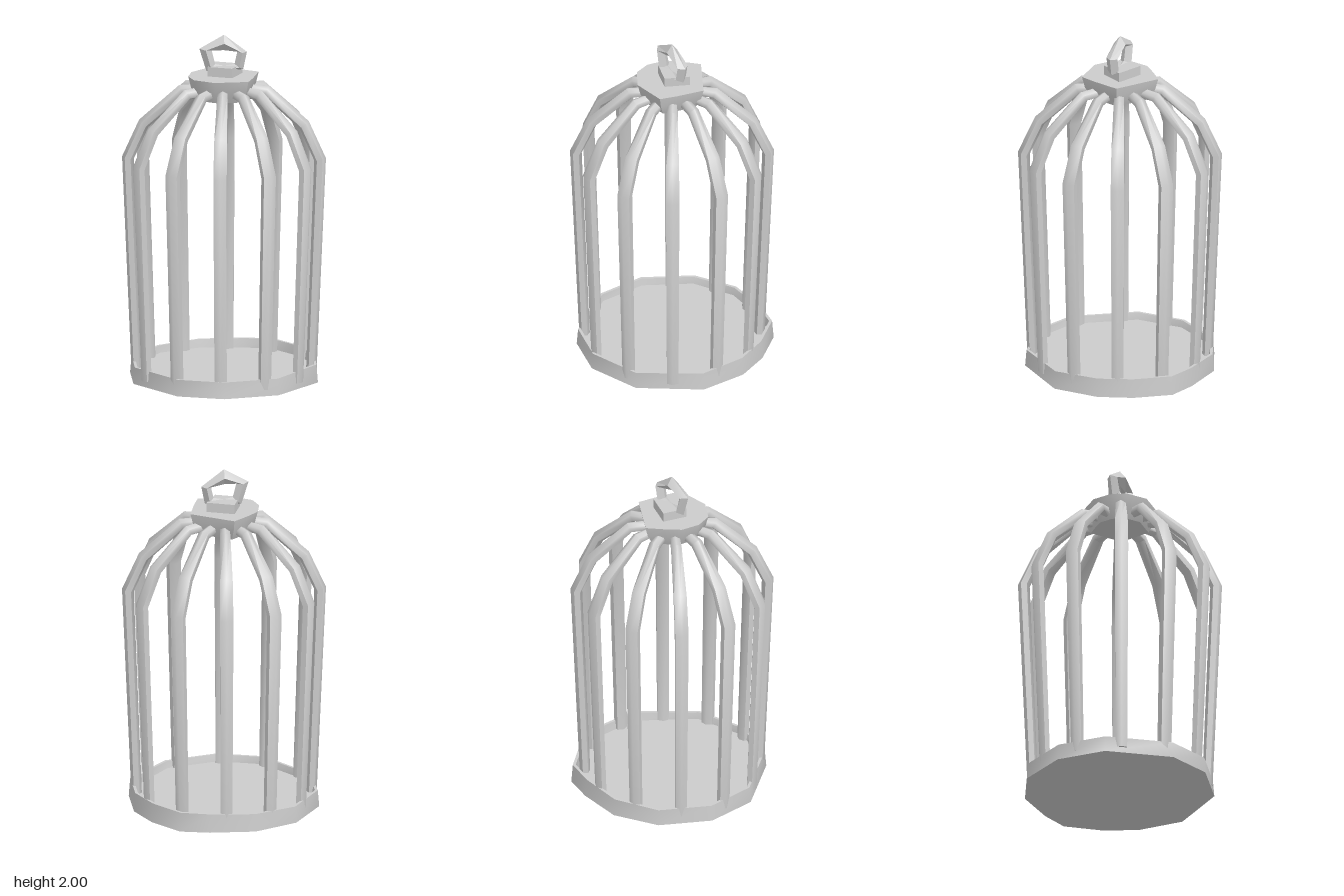
import * as THREE from 'three';
import { toCreasedNormals } from 'three/addons/utils/BufferGeometryUtils.js';

const material = new THREE.MeshStandardMaterial({ color: 0xcccccc });

// Skin a run of cross-section rings; the ends are capped unless the run closes on itself.
function loft(rings, closed = false, crease = 0.7) {
  const run = [...rings];
  if (closed) {
    run.push(rings[0]);
  } else {
    const collapse = ring => {
      const mid = new THREE.Vector3();
      ring.forEach(p => mid.add(p));
      mid.divideScalar(ring.length);
      return ring.map(() => mid);
    };
    run.unshift(collapse(rings[0]));
    run.push(collapse(rings[rings.length - 1]));
  }
  const pos = [];
  const tri = (a, b, c) => {
    if (a.equals(b) || b.equals(c) || a.equals(c)) return;
    [a, b, c].forEach(p => pos.push(p.x, p.y, p.z));
  };
  for (let j = 0; j < run.length - 1; j++) {
    const lo = run[j], hi = run[j + 1];
    for (let i = 0; i < lo.length; i++) {
      const k = (i + 1) % lo.length;
      tri(lo[k], lo[i], hi[i]);
      tri(lo[k], hi[i], hi[k]);
    }
  }
  const geo = new THREE.BufferGeometry();
  geo.setAttribute('position', new THREE.Float32BufferAttribute(pos, 3));
  return toCreasedNormals(geo, crease);
}

// Stack one outline at several [scale, y] levels; tilt(x, z) may vary the height.
function stack(outline, levels) {
  return loft(levels.map(([s, y, tilt]) =>
    outline.map(([x, z]) => new THREE.Vector3(x * s, y + (tilt ? tilt(x, z) : 0), z * s))));
}

function addMesh(parent, name, geometry) {
  const mesh = new THREE.Mesh(geometry, material);
  mesh.name = name;
  parent.add(mesh);
  return mesh;
}

// One bar in the x-y plane: [radius, y, outward normal angle, half depth, half width]
function barGeometry() {
  const stations = [
    [0.495, 0.04, 0, 0.03, 0.038],
    [0.545, 1.28, 0.2, 0.034, 0.044],
    [0.455, 1.48, 0.68, 0.034, 0.042],
    [0.24, 1.675, 1.1, 0.033, 0.034],
    [0.12, 1.685, 1.5, 0.032, 0.03],
  ];
  const sides = 6;
  return loft(stations.map(([r, y, a, depth, width]) =>
    Array.from({ length: sides }, (_, i) => {
      const t = (i / sides) * Math.PI * 2;
      const d = Math.cos(t) * depth;
      return new THREE.Vector3(r + Math.cos(a) * d, y + Math.sin(a) * d, Math.sin(t) * width);
    })), false, 1.1);
}

// Faceted hanging loop: [outer x, outer y, inner x, inner y, half thickness]
function loopGeometry() {
  const stations = [
    [0.0, 1.78, 0.0, 1.82, 0.03],
    [0.11, 1.8, 0.06, 1.83, 0.035],
    [0.13, 1.9, 0.075, 1.9, 0.035],
    [0.0, 2.0, 0.0, 1.91, 0.035],
    [-0.14, 1.92, -0.07, 1.91, 0.03],
    [-0.1, 1.79, -0.05, 1.83, 0.035],
  ];
  return loft(stations.map(([ox, oy, ix, iy, t]) => {
    const mx = (ox + ix) / 2, my = (oy + iy) / 2;
    return [
      new THREE.Vector3(ox, oy, 0), new THREE.Vector3(mx, my, t),
      new THREE.Vector3(ix, iy, 0), new THREE.Vector3(mx, my, -t),
    ];
  }), true, 0.3);
}

export function createModel() {
  const cage = new THREE.Group();
  cage.name = 'birdcage';

  // Shallow tray: outer wall, raised uneven rim, floor
  const trayOutline = [
    [-0.18, -0.52], [0.08, -0.54], [0.25, -0.52], [0.41, -0.36], [0.51, -0.18], [0.54, 0.09],
    [0.34, 0.42], [0.04, 0.54], [-0.23, 0.49], [-0.5, 0.2], [-0.54, -0.09], [-0.41, -0.37],
  ];
  const rimTilt = (x, z) => 0.02 * Math.max(0, x - z);
  addMesh(cage, 'baseTray', stack(trayOutline, [
    [1, 0.005], [0.985, 0.1, rimTilt], [0.955, 0.1, rimTilt], [0.94, 0.06],
  ]));

  // Twelve bent bars
  const bars = new THREE.Group();
  bars.name = 'bars';
  const bar = barGeometry();
  for (let i = 0; i < 12; i++) {
    addMesh(bars, 'bar', bar).rotation.y = (i / 12) * Math.PI * 2 + 0.03;
  }
  cage.add(bars);

  // Cap that gathers the bars
  const capOutline = [
    [-0.06, -0.22], [0.19, -0.1], [0.17, 0.06], [0.15, 0.16], [-0.04, 0.2],
    [-0.16, 0.14], [-0.2, 0.05], [-0.19, -0.06], [-0.13, -0.14],
  ];
  addMesh(cage, 'cap', stack(capOutline, [[0.75, 1.635], [0.92, 1.7], [1, 1.765]]));

  // Small block under the loop
  const blockOutline = [[-0.06, -0.1], [0.1, -0.06], [0.05, 0.075], [-0.09, 0.04]];
  addMesh(cage, 'loopBlock', stack(blockOutline, [[1, 1.75], [1, 1.82]]));

  // Hanging loop
  addMesh(cage, 'hangingLoop', loopGeometry()).rotation.y = 0.12;

  return cage;
}
